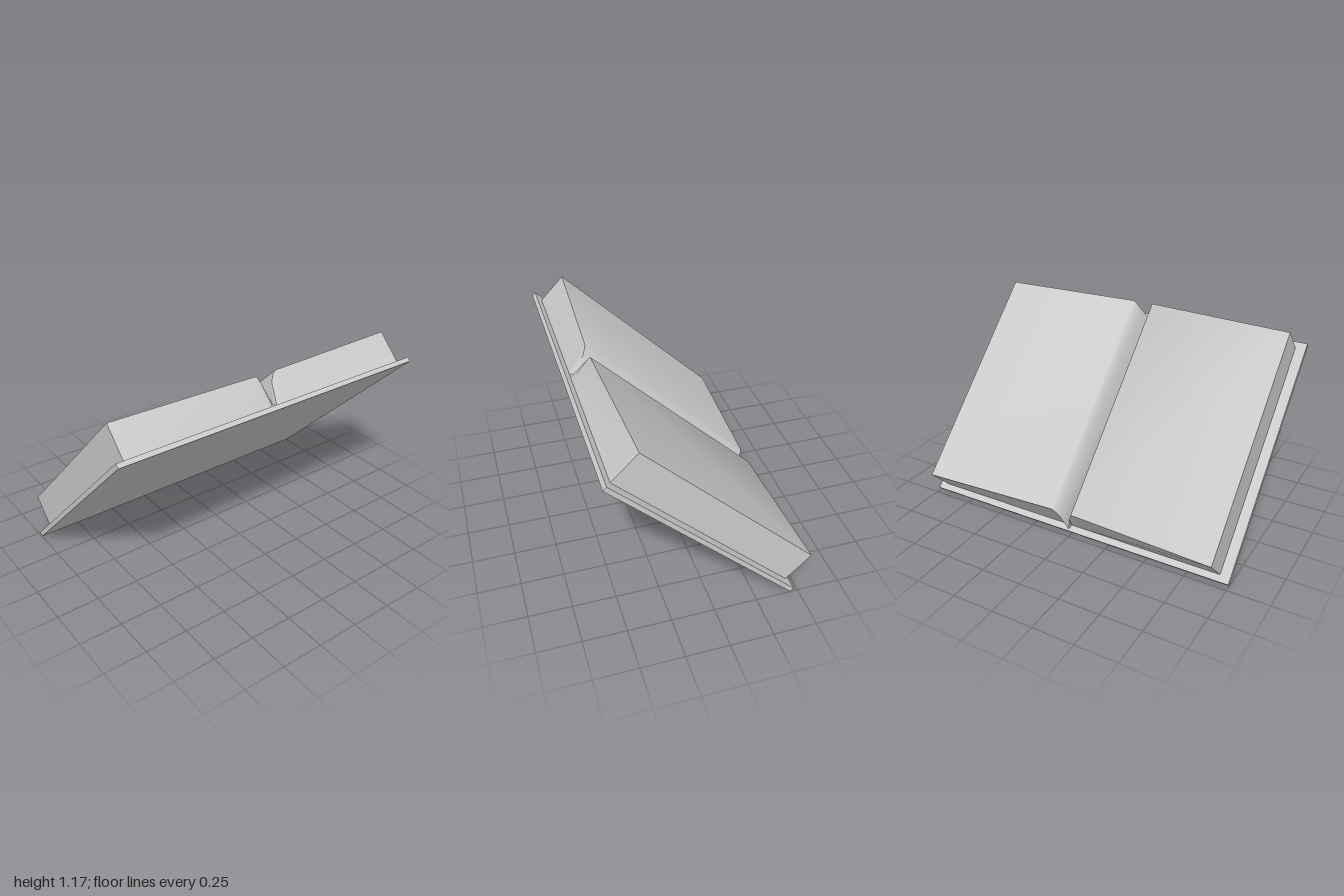
import * as THREE from 'three';
import { toCreasedNormals } from 'three/addons/utils/BufferGeometryUtils.js';

// Solid through four-cornered cross-sections, ordered from +z to -z
function loft(sections) {
  const positions = sections.flat(2);
  const index = [0, 1, 2, 0, 2, 3];
  for (let s = 0; s < sections.length - 1; s++) {
    for (let i = 0; i < 4; i++) {
      const j = (i + 1) % 4;
      const a = s * 4, b = a + 4;
      index.push(a + i, b + i, b + j, a + i, b + j, a + j);
    }
  }
  const e = (sections.length - 1) * 4;
  index.push(e, e + 2, e + 1, e, e + 3, e + 2);
  const g = new THREE.BufferGeometry();
  g.setAttribute('position', new THREE.Float32BufferAttribute(positions, 3));
  g.setIndex(index);
  return toCreasedNormals(g, THREE.MathUtils.degToRad(62));
}

export function createModel() {
  const model = new THREE.Group();
  model.name = 'openBook';
  const material = new THREE.MeshStandardMaterial({ color: 0xcccccc });

  // The book lies along local x and leans about z
  const book = new THREE.Group();
  book.name = 'leaningBook';
  book.rotation.z = 0.777;
  book.position.y = -0.002;
  model.add(book);

  // Cover: thin flat board
  const cover = new THREE.Mesh(new THREE.BoxGeometry(1.467, 0.028, 2), material);
  cover.name = 'cover';
  cover.position.set(0.41, 0.336, 0);
  book.add(cover);

  // Pages: z, slide of the top along x, and top height; the gutter is a curved groove
  const profile = [
    [0.94, 0, 0.556],
    [0.06, 0.032, 0.533],
    [0.048, 0.027, 0.522],
    [0.03, 0.012, 0.482],
    [-0.007, -0.03, 0.375],
    [-0.036, 0.012, 0.482],
    [-0.06, 0.027, 0.522],
    [-0.073, 0.032, 0.533],
    [-0.942, 0, 0.556],
  ];
  const x0 = -0.284, x1 = 1.102, base = 0.35;
  const pages = new THREE.Mesh(
    loft(profile.map(([z, dx, top]) => [
      [x0, base, z], [x1, base, z], [x1 + dx, top, z], [x0 + dx, top, z],
    ])),
    material
  );
  pages.name = 'pages';
  book.add(pages);

  return model;
}
